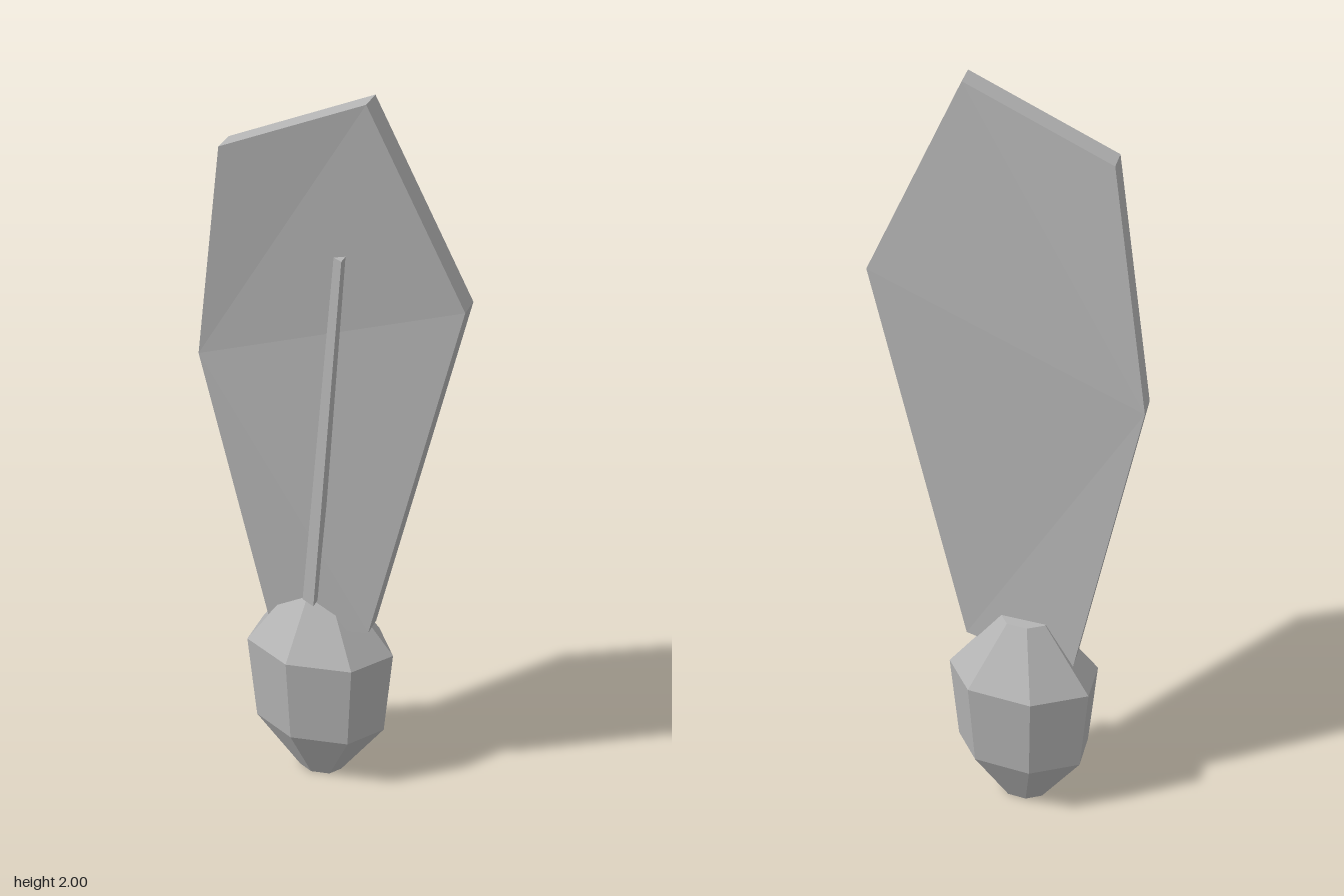
import * as THREE from 'three';

// Joins matching rings of [x, y, z] points into a closed, flat-shaded solid.
// Each ring runs counter-clockwise as seen from the end of the loft.
function loft(rings) {
  const n = rings[0].length;
  const pos = [];
  const tri = (a, b, c) => pos.push(...a, ...b, ...c);
  for (let k = 0; k < rings.length - 1; k++) {
    for (let i = 0; i < n; i++) {
      const j = (i + 1) % n;
      const lo = rings[k], hi = rings[k + 1];
      tri(lo[i], lo[j], hi[j]);
      tri(lo[i], hi[j], hi[i]);
    }
  }
  const first = rings[0], last = rings[rings.length - 1];
  for (let i = 1; i < n - 1; i++) {
    tri(first[0], first[i + 1], first[i]);
    tri(last[0], last[i], last[i + 1]);
  }
  const geometry = new THREE.BufferGeometry();
  geometry.setAttribute('position', new THREE.Float32BufferAttribute(pos, 3));
  geometry.computeVertexNormals();
  return geometry;
}

// Horizontal elliptical ring around (cx, cz)
function ring(sides, cx, y, cz, rx, rz, start = 0) {
  return Array.from({ length: sides }, (_, i) => {
    const a = start + (i / sides) * Math.PI * 2;
    return [cx + Math.cos(a) * rx, y, cz - Math.sin(a) * rz];
  });
}

export function createModel() {
  const group = new THREE.Group();
  const grey = new THREE.MeshStandardMaterial({ color: 0xb4b4b4, flatShading: true });
  grey.name = 'grey';
  const add = (name, geometry) => {
    const mesh = new THREE.Mesh(geometry, grey);
    mesh.name = name;
    group.add(mesh);
  };

  // Seed pod: seven-sided, flattened front to back
  const podProfile = [[0.058, 0], [0.176, 0.16], [0.199, 0.4], [0.063, 0.575]];
  add('seedPod', loft(podProfile.map(([r, y]) => ring(7, -0.063, y, -0.031, r, r * 0.68))));

  // Wing: leaning plate of even thickness, bent across its widest line
  const wingFront = [
    [-0.348, 1.23, 0.044], [-0.19, 0.44, -0.005], [0.09, 0.5, 0.03],
    [0.347, 1.5, 0.104], [0.12, 2, 0.15], [-0.243, 1.835, 0.135],
  ];
  const wingBack = wingFront.map(([x, y, z]) => [x, y, z - 0.06]);
  add('wing', loft([wingBack, wingFront]));

  // Vein: thin tapering three-sided rod in front of the wing
  add('vein', loft([
    ring(3, -0.063, 0.56, 0.028, 0.025, 0.025, Math.PI / 3),
    ring(3, 0.059, 1.61, 0.15, 0.016, 0.016, Math.PI / 3),
  ]));

  return group;
}
